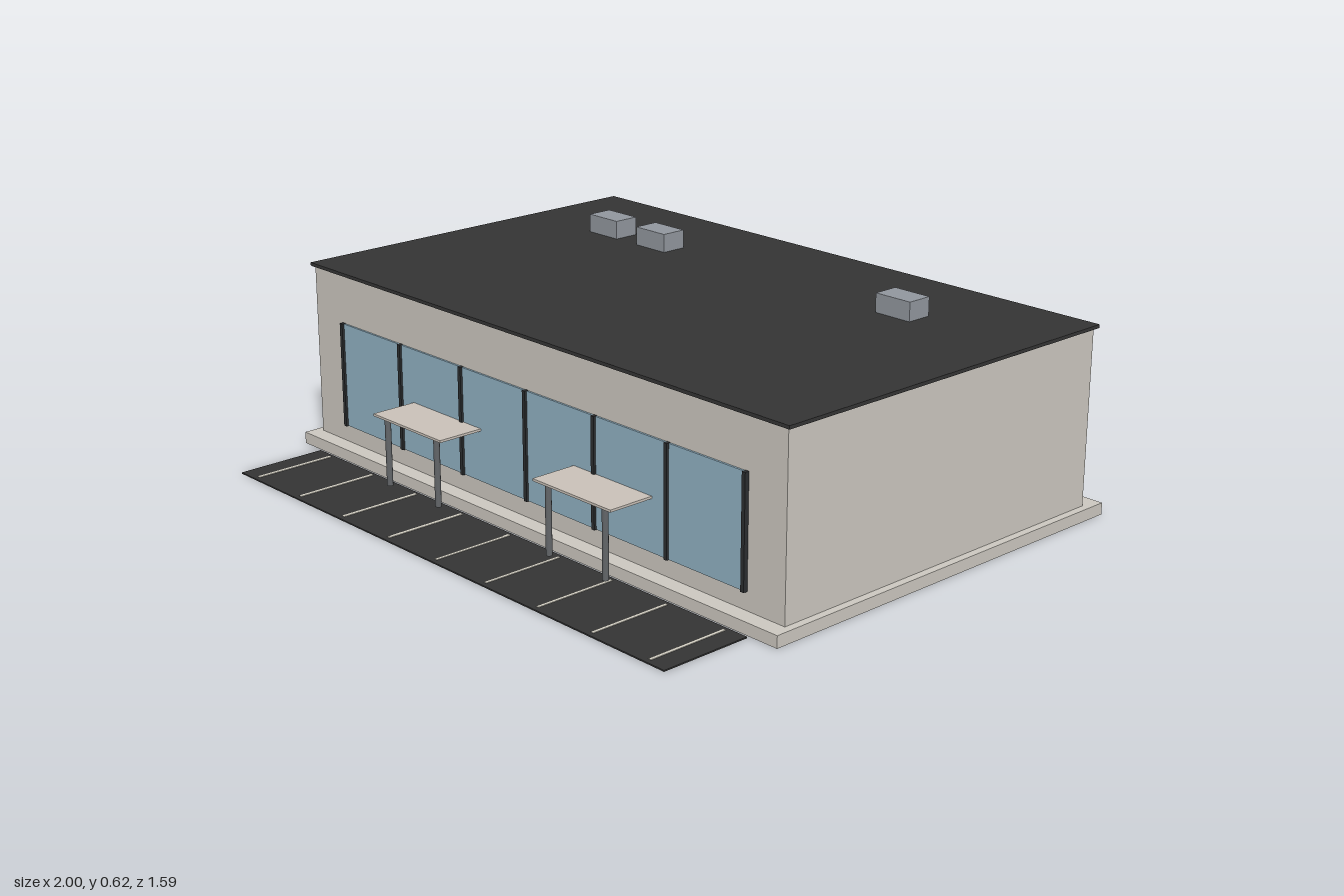
import * as THREE from 'three';

const material = (name, color) => {
  const m = new THREE.MeshStandardMaterial({ color });
  m.name = name;
  return m;
};

export function createModel() {
  const model = new THREE.Group();
  model.name = 'shopBuilding';
  const wall = material('wall stone', 0xcac6be);
  const dark = material('dark roofing', 0x343434);
  const glass = material('window glass', 0x8fafc0);
  const frame = material('window frame', 0x2b2d2f);
  const canopyMat = material('canopy panel', 0xc8c0b7);
  const metal = material('post metal', 0x626568);
  const unitMat = material('roof unit grey', 0x90959c);
  const paint = material('stripe paint', 0xd0ccc0);

  // Box given by its limits along each axis
  const box = (name, mat, [x0, x1], [y0, y1], [z0, z1], parent = model) => {
    const mesh = new THREE.Mesh(new THREE.BoxGeometry(x1 - x0, y1 - y0, z1 - z0), mat);
    mesh.position.set((x0 + x1) / 2, (y0 + y1) / 2, (z0 + z1) / 2);
    mesh.name = name;
    parent.add(mesh);
    return mesh;
  };
  const group = (name) => {
    const g = new THREE.Group();
    g.name = name;
    model.add(g);
    return g;
  };

  // Base slab, body and overhanging roof
  box('baseSlab', wall, [-1, 1], [0, 0.035], [-0.795, 0.505]);
  box('walls', wall, [-0.977, 0.977], [0.035, 0.554], [-0.735, 0.455]);
  box('roof', dark, [-0.988, 0.988], [0.554, 0.564], [-0.746, 0.464]);

  // Shop window with seven mullions
  const shopWindow = group('shopWindow');
  box('glass', glass, [-0.84, 0.84], [0.088, 0.406], [0.455, 0.461], shopWindow);
  for (let i = -3; i <= 3; i++) {
    const x = i * 0.28;
    box('mullion', frame, [x - 0.006, x + 0.006], [0.087, 0.407], [0.455, 0.468], shopWindow);
  }

  // Two entrance canopies, each on a pair of posts
  for (const [name, cx] of [['rightCanopy', -0.35], ['leftCanopy', 0.35]]) {
    const canopy = group(name);
    box('canopyPanel', canopyMat, [cx - 0.153, cx + 0.153], [0.238, 0.245], [0.455, 0.604], canopy);
    for (const side of [-1, 1]) {
      const post = new THREE.Mesh(new THREE.CylinderGeometry(0.009, 0.009, 0.203, 12), metal);
      post.position.set(cx + side * 0.112, 0.1365, 0.585);
      post.name = 'canopyPost';
      canopy.add(post);
    }
  }

  // Rooftop units
  for (const x of [-0.632, -0.418, 0.56]) {
    box('roofUnit', unitMat, [x - 0.062, x + 0.062], [0.564, 0.62], [-0.464, -0.384]);
  }

  // Parking strip with painted bay lines
  const parking = group('parking');
  box('asphalt', dark, [-0.907, 0.907], [0, 0.004], [0.515, 0.795], parking);
  for (let i = -4; i <= 4; i++) {
    const x = i * 0.21;
    box('bayLine', paint, [x - 0.005, x + 0.005], [0.004, 0.0055], [0.527, 0.78], parking);
  }
  return model;
}
